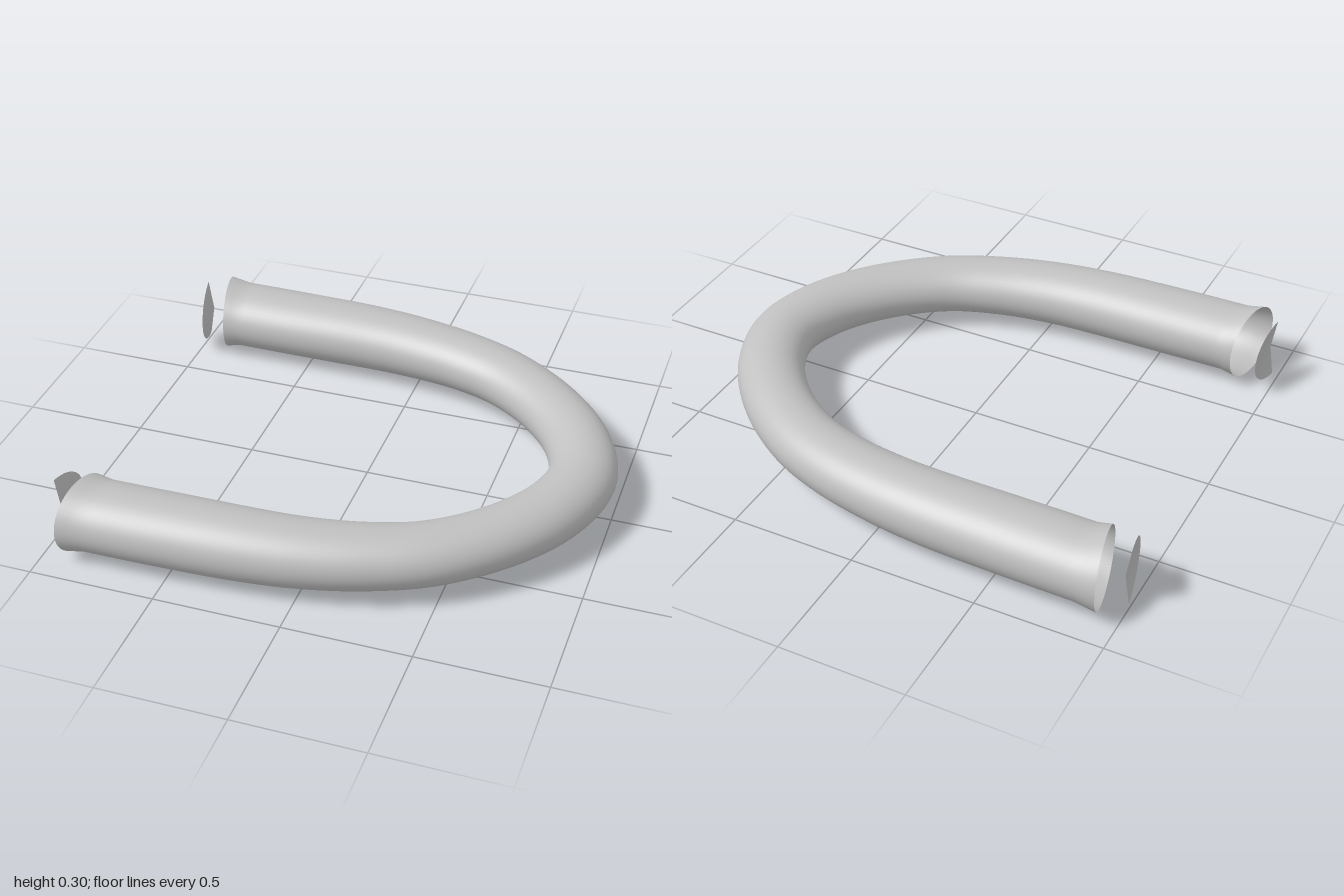
import * as THREE from 'three';

const CENTER_Y = 0.15;

// Bent tube: oval rings swept along a horizontal U path, wider at the open ends.
function bentTube(material) {
  const path = new THREE.CatmullRomCurve3([
    [-0.9, -0.775], [-0.55, -0.77], [-0.2, -0.762], [0, -0.742], [0.22, -0.698],
    [0.42, -0.62], [0.64, -0.457], [0.8, -0.25], [0.866, -0.03],
    [0.81, 0.2], [0.66, 0.418], [0.44, 0.6], [0.22, 0.692], [0, 0.742],
    [-0.2, 0.762], [-0.55, 0.772], [-0.88, 0.775],
  ].map(([x, z]) => new THREE.Vector3(x, CENTER_Y, z)));

  const rings = 120, sides = 48;
  const positions = [], index = [];
  for (let i = 0; i <= rings; i++) {
    const u = i / rings;
    const c = path.getPointAt(u);
    const t = path.getTangentAt(u);
    const nearEnd = Math.min(i, rings - i);
    const lip = Math.max(0, 1 - nearEnd / 2);            // small flare at the rim
    const slant = 0.21 * Math.max(0, 1 - nearEnd / 5);   // rim is cut at an angle
    const rx = 0.135 + 0.025 * (1 - THREE.MathUtils.smoothstep(c.x, -0.7, 0.7)) + 0.005 * lip;
    const ry = 0.11 + 0.021 * (1 - THREE.MathUtils.smoothstep(c.x, -0.4, 0.6)) + 0.017 * lip;
    for (let j = 0; j < sides; j++) {
      const a = (j / sides) * Math.PI * 2;
      const out = rx * Math.cos(a);
      positions.push(c.x + t.z * out - slant * out, c.y + ry * Math.sin(a), c.z - t.x * out);
      if (i < rings) {
        const k = (j + 1) % sides;
        const p = i * sides + j, q = i * sides + k;
        index.push(p, q, p + sides, q, q + sides, p + sides);
      }
    }
  }
  const geometry = new THREE.BufferGeometry();
  geometry.setAttribute('position', new THREE.Float32BufferAttribute(positions, 3));
  geometry.setIndex(index);
  geometry.computeVertexNormals();
  const mesh = new THREE.Mesh(geometry, material);
  mesh.name = 'bentTube';
  return mesh;
}

// Half-disc sliver of an end cap, gently bulged toward the tube.
function endCap(name, side, x, lean, material) {
  const geometry = new THREE.CircleGeometry(1, 24, Math.PI / 2, Math.PI);
  const pos = geometry.attributes.position;
  for (let i = 0; i < pos.count; i++) {
    const s = -pos.getX(i), h = pos.getY(i);
    const bulge = 0.02 * (1 - s * s - h * h);
    pos.setXYZ(i, x + lean * s + bulge, CENTER_Y + 0.128 * h, side * (0.78 - 0.17 * s));
  }
  geometry.computeVertexNormals();
  const mesh = new THREE.Mesh(geometry, material);
  mesh.name = name;
  return mesh;
}

export function createModel() {
  const group = new THREE.Group();
  group.name = 'bentPipe';
  const grey = new THREE.MeshStandardMaterial({ color: 0xc0c0c0, side: THREE.DoubleSide });
  grey.name = 'light grey';

  group.add(
    bentTube(grey),
    endCap('backEndCap', -1, -1, 0.035, grey),
    endCap('frontEndCap', 1, -0.98, 0.025, grey),
  );
  return group;
}
